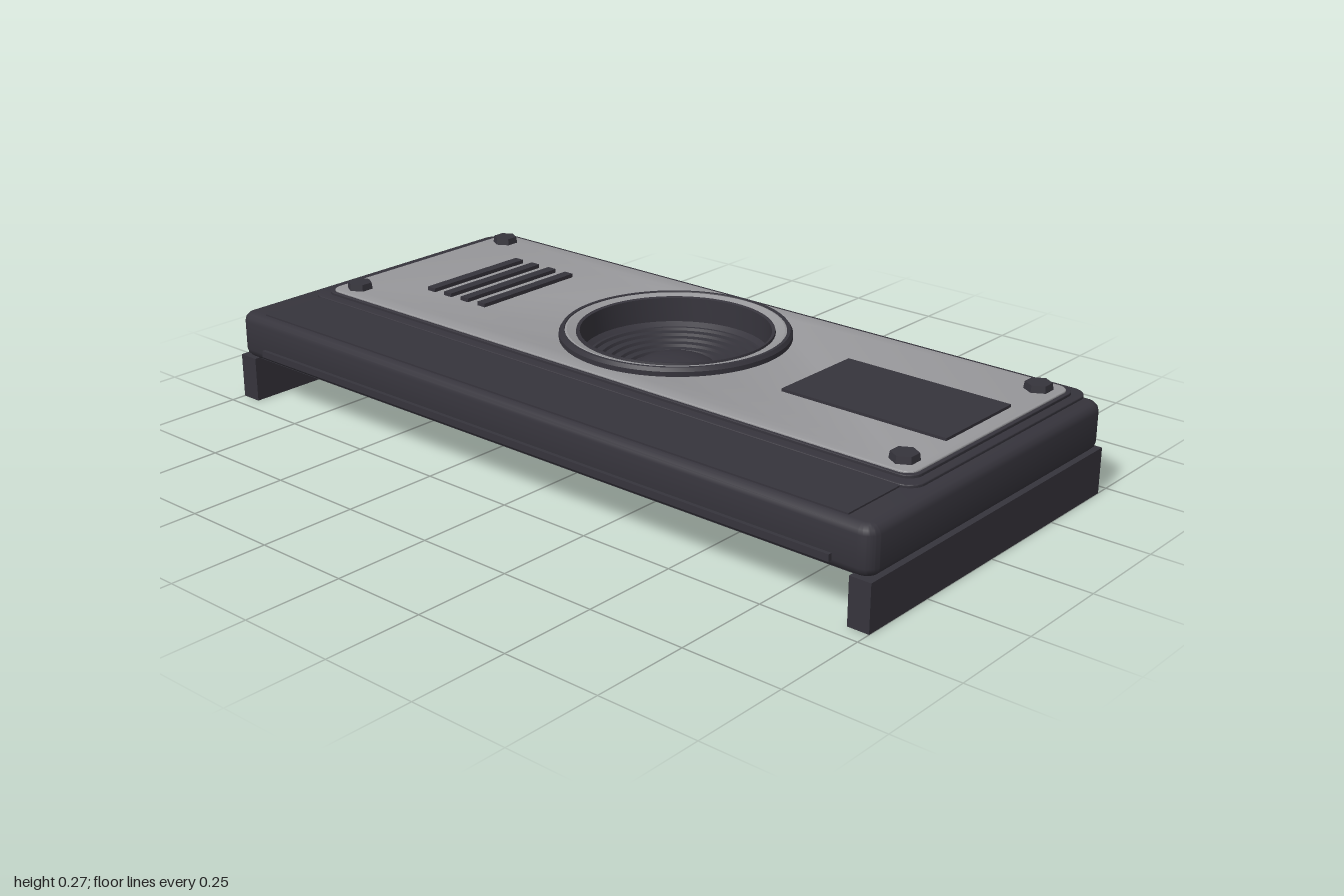
import * as THREE from 'three';
import { toCreasedNormals } from 'three/addons/utils/BufferGeometryUtils.js';

const dark = new THREE.MeshStandardMaterial({ name: 'dark plastic', color: 0x36343c });
const silver = new THREE.MeshStandardMaterial({ name: 'silver metal', color: 0x98989b });
const LENS_Z = -0.11;

export function createModel() {
  const model = new THREE.Group();
  model.name = 'device';

  const add = (name, geometry, material, x = 0, y = 0, z = 0) => {
    const mesh = new THREE.Mesh(geometry, material);
    mesh.name = name;
    mesh.position.set(x, y, z);
    model.add(mesh);
    return mesh;
  };

  const box = (name, material, x0, x1, y0, y1, z0, z1) =>
    add(name, new THREE.BoxGeometry(x1 - x0, y1 - y0, z1 - z0), material,
      (x0 + x1) / 2, (y0 + y1) / 2, (z0 + z1) / 2);

  // Horizontal slab with rounded corners, bevelled edges and an optional lens hole
  const slab = (name, material, halfX, z0, z1, y0, y1, radius, bevel, hole = 0) => {
    const w = halfX - bevel, a = -z1 + bevel, b = -z0 - bevel, r = radius;
    const s = new THREE.Shape();
    s.moveTo(-w + r, a);
    s.lineTo(w - r, a);
    s.absarc(w - r, a + r, r, -Math.PI / 2, 0);
    s.lineTo(w, b - r);
    s.absarc(w - r, b - r, r, 0, Math.PI / 2);
    s.lineTo(-w + r, b);
    s.absarc(-w + r, b - r, r, Math.PI / 2, Math.PI);
    s.lineTo(-w, a + r);
    s.absarc(-w + r, a + r, r, Math.PI, Math.PI * 1.5);
    if (hole) s.holes.push(new THREE.Path().absarc(0, -LENS_Z, hole, 0, Math.PI * 2, true));
    const g = new THREE.ExtrudeGeometry(s, {
      depth: y1 - y0 - 2 * bevel, bevelEnabled: bevel > 0, bevelThickness: bevel,
      bevelSize: bevel, bevelSegments: 3, curveSegments: 12,
    });
    g.rotateX(-Math.PI / 2);
    return add(name, toCreasedNormals(g, 0.6), material, 0, y0 + bevel, 0);
  };

  const lathe = (name, material, points) => {
    const g = new THREE.LatheGeometry(points.map(([r, y]) => new THREE.Vector2(r, y)), 64);
    return add(name, toCreasedNormals(g, 0.5), material, 0, 0, LENS_Z);
  };

  // Base walls, open at the front and below
  for (const side of [-1, 1]) {
    const x = side * 0.9725;
    box('sideWall', dark, x - 0.0275, x + 0.0275, 0, 0.116, -0.463, 0.46);
  }
  box('backWall', dark, -0.945, 0.945, 0, 0.116, -0.463, -0.41);

  // Main body with a closed underside
  slab('body', dark, 0.998, -0.462, 0.46, 0.116, 0.234, 0.015, 0.022, 0.275);
  box('underside', dark, -0.96, 0.96, 0.112, 0.119, -0.43, 0.44);
  box('frontStrip', dark, -0.9, 0.9, 0.135, 0.152, 0.44, 0.47);

  // Layers on top
  box('frontPanel', dark, -0.92, 0.92, 0.228, 0.238, 0.25, 0.435);
  slab('plateFrame', dark, 0.955, -0.47, 0.255, 0.23, 0.241, 0.04, 0.003, 0.27);
  slab('plateRim', dark, 0.932, -0.447, 0.226, 0.238, 0.248, 0.035, 0.002, 0.27);
  slab('facePlate', silver, 0.922, -0.438, 0.217, 0.24, 0.252, 0.03, 0.003, 0.27);

  // Lens ring and stepped well
  lathe('lensRing', dark, [[0.29, 0.245], [0.29, 0.264], [0.284, 0.273], [0.276, 0.273], [0.274, 0.268]]);
  lathe('lensBezel', silver, [[0.278, 0.27], [0.27, 0.272], [0.246, 0.264]]);
  const well = [[0.248, 0.262], [0.246, 0.27], [0.238, 0.268], [0.236, 0.205]];
  for (let i = 0; i < 5; i++) {
    const r = 0.215 - i * 0.022, y = 0.195 - i * 0.007;
    well.push([r + 0.008, y], [r, y], [r - 0.003, y - 0.007]);
  }
  well.push([0.108, 0.158]);
  lathe('lensWell', dark, well);

  // Domed lens glass
  const dome = [];
  for (let i = 0; i <= 10; i++) {
    const t = (i / 10) * Math.PI / 2;
    dome.push([0.108 * Math.cos(t), 0.157 + 0.04 * Math.sin(t)]);
  }
  lathe('lensDome', dark, dome);

  // Corner bolts
  for (const x of [-0.867, 0.867]) {
    for (const z of [-0.383, 0.16]) {
      add('bolt', toCreasedNormals(new THREE.CylinderGeometry(0.032, 0.035, 0.02, 6), 0.3), dark, x, 0.259, z);
    }
  }

  // Grille bars and display window
  for (let i = 0; i < 4; i++) {
    const x = -0.705 + i * 0.062;
    box('grilleBar', dark, x - 0.0135, x + 0.0135, 0.247, 0.262, -0.275, 0.055);
  }
  box('displayWindow', dark, 0.43, 0.88, 0.25, 0.259, -0.243, 0.02);

  return model;
}
